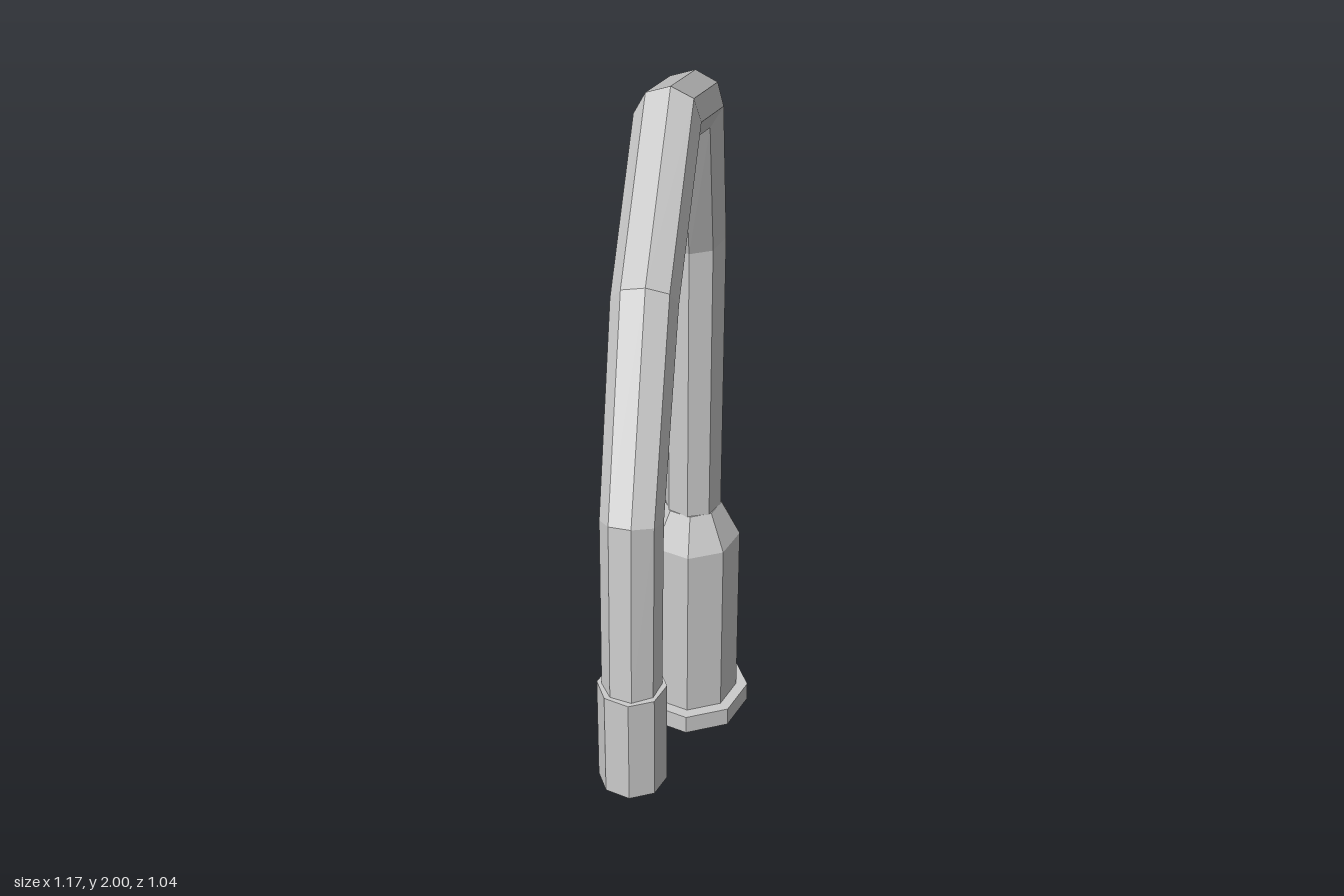
import * as THREE from 'three';

const SIDES = 8;
const BASE = new THREE.Vector3(0.443, 0, -0.38);
// The spout lies in one upright plane, turned diagonally
const ALONG = new THREE.Vector3(-0.757, 0, 0.653);
const ACROSS = new THREE.Vector3(0.653, 0, 0.757);
const REACH = 1.278;
const TURN = -0.073; // turns the octagons so a corner points along the spout
const TWIST = 0.09;  // slight roll of the pipe section

const material = new THREE.MeshStandardMaterial({ color: 0xcccccc, flatShading: true });

// Upright octagonal section between two heights
function column(name, reach, y0, y1, r0, r1 = r0) {
  const mesh = new THREE.Mesh(new THREE.CylinderGeometry(r1, r0, y1 - y0, SIDES), material);
  mesh.name = name;
  mesh.position.copy(BASE).addScaledVector(ALONG, reach);
  mesh.position.y = (y0 + y1) / 2;
  mesh.rotation.y = TURN;
  return mesh;
}

// Pipe through [distance along, height, radius], with mitred bends
function pipe(name, path) {
  const positions = [];
  const index = [];
  const heading = (i) => {
    const [a, b] = [path[i], path[i + 1]];
    return new THREE.Vector2(b[0] - a[0], b[1] - a[1]).normalize();
  };
  path.forEach(([s, y, r], i) => {
    const before = heading(Math.max(i - 1, 0));
    const after = heading(Math.min(i, path.length - 2));
    const t = before.add(after).normalize();
    const outward = ALONG.clone().multiplyScalar(-t.y).setY(t.x);
    const centre = BASE.clone().addScaledVector(ALONG, s).setY(y);
    for (let j = 0; j < SIDES; j++) {
      const angle = (j / SIDES) * Math.PI * 2 + TWIST;
      const p = centre.clone()
        .addScaledVector(outward, r * Math.cos(angle))
        .addScaledVector(ACROSS, r * Math.sin(angle));
      positions.push(p.x, p.y, p.z);
      if (i < path.length - 1) {
        const a = i * SIDES + j;
        const b = i * SIDES + (j + 1) % SIDES;
        index.push(a, a + SIDES, b, b, a + SIDES, b + SIDES);
      }
    }
  });
  const indexed = new THREE.BufferGeometry();
  indexed.setAttribute('position', new THREE.Float32BufferAttribute(positions, 3));
  indexed.setIndex(index);
  const geometry = indexed.toNonIndexed();
  geometry.computeVertexNormals();
  const mesh = new THREE.Mesh(geometry, material);
  mesh.name = name;
  return mesh;
}

export function createModel() {
  const group = new THREE.Group();
  group.name = 'faucet';

  // Foot and body
  group.add(column('baseFlange', 0, 0, 0.05, 0.142));
  group.add(column('body', 0, 0.05, 0.525, 0.114));
  group.add(column('shoulder', 0, 0.525, 0.615, 0.114, 0.069));

  // Gooseneck, narrowing towards the outlet
  group.add(pipe('gooseneck', [
    [0, 0.6, 0.068],
    [0, 1.34, 0.07],
    [0.141, 1.73, 0.07],
    [0.618, 1.937, 0.063],
    [1.025, 1.793, 0.06],
    [1.255, 1.49, 0.056],
    [REACH, 1.13, 0.055],
  ]));

  // Outlet
  group.add(column('nozzle', REACH, 0.915, 1.14, 0.064));
  return group;
}
